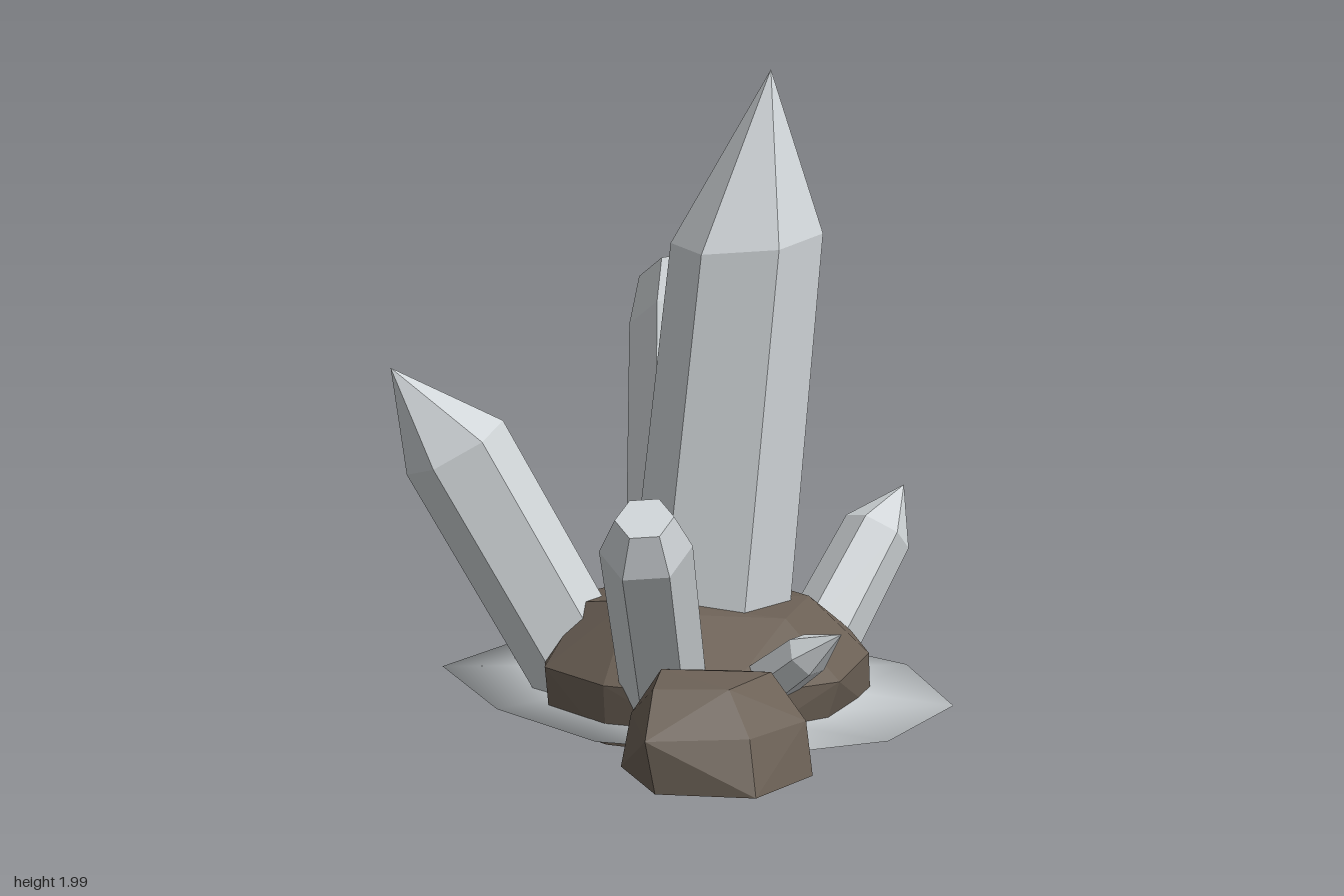
import * as THREE from 'three';
import { ConvexGeometry } from 'three/addons/geometries/ConvexGeometry.js';

const V = (a) => new THREE.Vector3(...a);

// Six-sided ring around an axis, cut by a plane with normal n
function ring(center, axis, n, r, phase) {
  const u = V([1, 0, 0]).addScaledVector(axis, -axis.x).normalize();
  const v = u.clone().cross(axis);
  return Array.from({ length: 6 }, (_, i) => {
    const t = phase + (i * Math.PI) / 3;
    const o = u.clone().multiplyScalar(r * Math.cos(t)).addScaledVector(v, r * Math.sin(t));
    o.addScaledVector(axis, -o.dot(n) / axis.dot(n));
    return o.add(center);
  });
}

// Prism from base to shoulder, ending in a point or a flat cap (capR > 0)
function crystalGeometry({ base, shoulder, tip, r0, r1, phase = 0, cut, capR = 0 }) {
  const b = V(base), s = V(shoulder), t = V(tip);
  const axis = s.clone().sub(b).normalize();
  const n = cut ? V(cut).normalize() : axis;
  const points = [...ring(b, axis, axis, r0, phase), ...ring(s, axis, n, r1, phase)];
  if (capR) points.push(...ring(t, axis, n, capR, phase));
  else points.push(t);
  return new ConvexGeometry(points);
}

// Thin mineral sheet around the rocks, smooth shaded
function sheetGeometry() {
  const outline = [[-0.86, 0.05], [-0.7, -0.33], [-0.27, -0.58], [0.27, -0.62], [0.72, -0.37],
    [0.86, 0.05], [0.72, 0.4], [0.27, 0.68], [-0.22, 0.67], [-0.75, 0.48]];
  const count = outline.length;
  const pos = [], index = [];
  for (const [x, z] of outline) {
    pos.push(x * 0.58, 0.09, z * 0.58, x, 0.07 + 0.015 * x, z, x * 0.58, 0.05, z * 0.58);
  }
  for (let i = 0; i < count; i++) {
    const a = i * 3, b = ((i + 1) % count) * 3;
    for (let k = 0; k < 2; k++) {
      index.push(a + k, a + k + 1, b + k, b + k, a + k + 1, b + k + 1);
    }
  }
  const g = new THREE.BufferGeometry();
  g.setAttribute('position', new THREE.Float32BufferAttribute(pos, 3));
  g.setIndex(index);
  g.computeVertexNormals();
  // Outline runs clockwise or not: make the upper face point up
  if (g.attributes.normal.getY(0) < 0) {
    g.setIndex(index.slice().reverse());
    g.computeVertexNormals();
  }
  return g;
}

export function createModel() {
  const model = new THREE.Group();
  const crystal = new THREE.MeshStandardMaterial({ color: 0xd0d5d8 });
  crystal.name = 'pale crystal';
  const rock = new THREE.MeshStandardMaterial({ color: 0x6b6055 });
  rock.name = 'brown rock';

  const add = (name, geometry, material) => {
    const mesh = new THREE.Mesh(geometry, material);
    mesh.name = name;
    model.add(mesh);
  };

  // Crystals
  const crystals = {
    mainCrystal: { base: [0.025, 0.12, 0.04], shoulder: [0.07, 1.485, -0.1], tip: [0.08, 2, -0.19],
      r0: 0.255, r1: 0.233, phase: 0.3, cut: [0, 1, 0.11] },
    backRightCrystal: { base: [-0.26, 0.12, -0.14], shoulder: [-0.6, 1.13, -0.44], tip: [-0.65, 1.275, -0.48],
      r0: 0.2, r1: 0.19, phase: 0.25, cut: [-0.55, 1, -0.25], capR: 0.155 },
    frontRightCrystal: { base: [-0.2, 0.1, 0.32], shoulder: [-0.44, 0.85, 0.65], tip: [-0.52, 1.11, 0.83],
      r0: 0.165, r1: 0.17 },
    frontLeftCrystal: { base: [0.23, 0.1, 0.37], shoulder: [0.5, 0.7, 0.68], tip: [0.535, 0.8, 0.715],
      r0: 0.13, r1: 0.135, phase: 0.3, capR: 0.085 },
    backCrystal: { base: [0.08, 0.1, -0.37], shoulder: [0.07, 0.47, -0.68], tip: [0.04, 0.6, -0.83],
      r0: 0.125, r1: 0.115, phase: 0.25 },
    smallRightCrystal: { base: [-0.42, 0.1, 0.08], shoulder: [-0.67, 0.29, 0.11], tip: [-0.83, 0.387, 0.145],
      r0: 0.09, r1: 0.085, phase: 0.2 },
    smallLeftCrystal: { base: [0.42, 0.16, 0.19], shoulder: [0.63, 0.32, 0.165], tip: [0.747, 0.4, 0.135],
      r0: 0.08, r1: 0.07, phase: 0.3 },
  };
  for (const [name, spec] of Object.entries(crystals)) add(name, crystalGeometry(spec), crystal);

  // Rocks as faceted hulls: [height, [x, z] outline] levels plus loose top corners
  const rocks = {
    mainRock: {
      levels: [
        [0.015, [[-0.5, 0.25], [-0.12, 0.54], [0.16, 0.55], [0.5, 0.38], [0.56, 0.04], [0.4, -0.33], [0, -0.5], [-0.45, -0.38], [-0.53, 0]]],
        [0.2, [[-0.55, 0.2], [-0.12, 0.56], [0.16, 0.56], [0.5, 0.38], [0.6, 0], [0.42, -0.3], [0.17, -0.46], [-0.07, -0.53], [-0.5, -0.33], [-0.55, -0.1]]],
      ],
      top: [[-0.15, 0.37, 0.38], [0.05, 0.41, 0.36], [0.18, 0.38, 0.3], [0.36, 0.35, 0], [0.2, 0.35, -0.25],
        [-0.1, 0.33, -0.32], [-0.35, 0.34, -0.1], [-0.4, 0.32, 0.2]],
    },
    sideRock: {
      levels: [
        [0.015, [[0.85, 0.57], [0.63, 0.76], [0.36, 0.66], [0.33, 0.42], [0.56, 0.27], [0.8, 0.3]]],
        [0.17, [[0.79, 0.54], [0.76, 0.29], [0.61, 0.78], [0.36, 0.62], [0.35, 0.45], [0.55, 0.25]]],
      ],
      top: [[0.45, 0.315, 0.58], [0.68, 0.29, 0.52], [0.62, 0.29, 0.3], [0.49, 0.28, 0.36], [0.53, 0.29, 0.68]],
    },
    backRock: {
      levels: [
        [0.015, [[-0.71, -0.5], [-0.6, -0.68], [-0.38, -0.62], [-0.32, -0.45], [-0.45, -0.28], [-0.66, -0.32]]],
        [0.14, [[-0.72, -0.5], [-0.6, -0.69], [-0.38, -0.61], [-0.33, -0.45], [-0.45, -0.28], [-0.67, -0.33]]],
      ],
      top: [[-0.62, 0.21, -0.48], [-0.55, 0.205, -0.6], [-0.42, 0.22, -0.55], [-0.42, 0.23, -0.4], [-0.56, 0.23, -0.38]],
    },
  };
  for (const [name, { levels, top }] of Object.entries(rocks)) {
    const points = top.map(V);
    for (const [y, outline] of levels) for (const [x, z] of outline) points.push(V([x, y, z]));
    add(name, new ConvexGeometry(points), rock);
  }

  add('mineralSheet', sheetGeometry(), crystal);
  return model;
}
